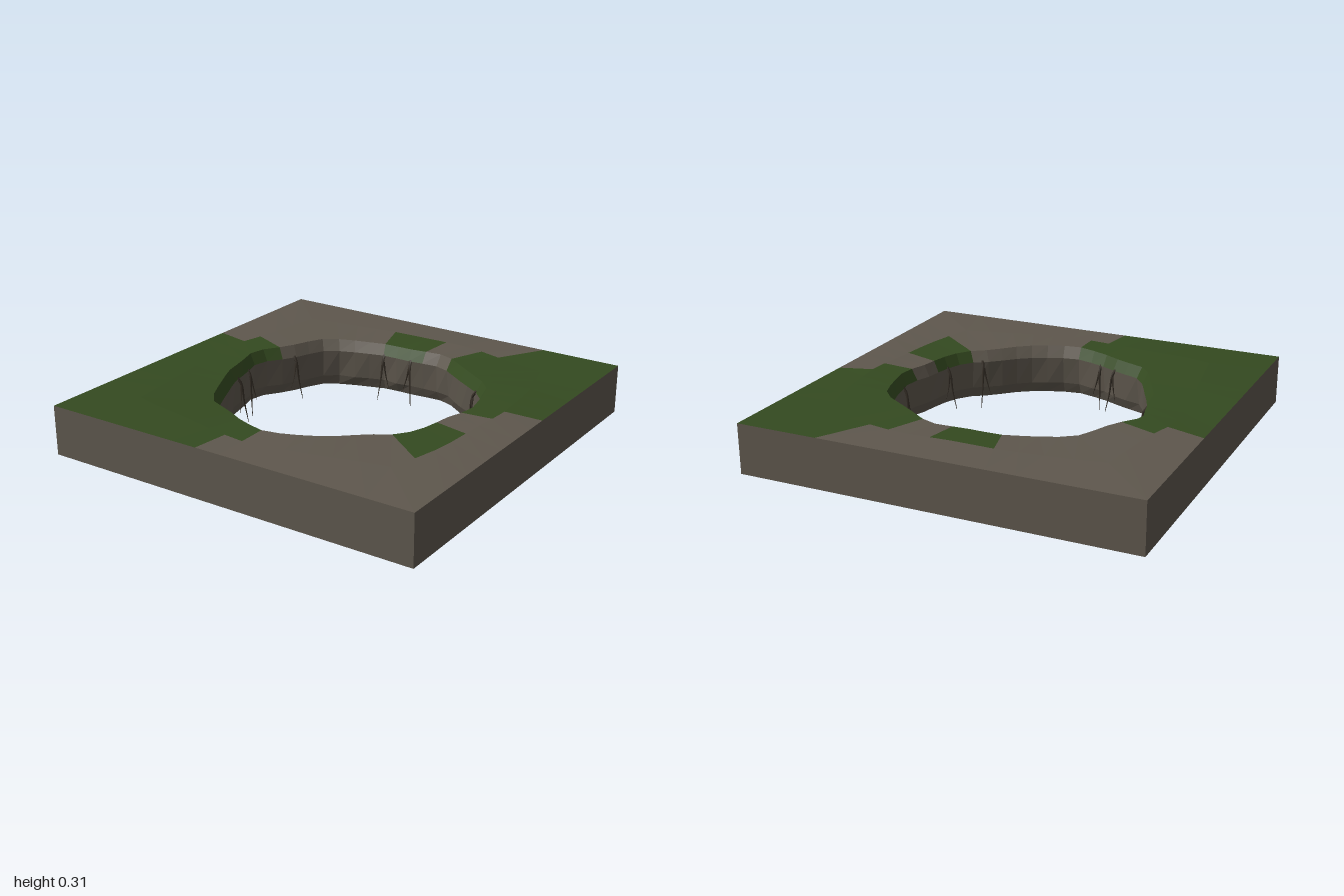
import * as THREE from 'three';

const SEG = 48;
const STEP = (Math.PI * 2) / SEG;

// Outline of the hole at the top, as x, z pairs running from +x towards +z
const OUTLINE = [
  [0.652, -0.01], [0.62, 0.085], [0.604, 0.2], [0.58, 0.3], [0.524, 0.385], [0.42, 0.455],
  [0.326, 0.55], [0.22, 0.626], [0.096, 0.674], [0, 0.69], [-0.14, 0.652], [-0.26, 0.59],
  [-0.41, 0.53], [-0.47, 0.455], [-0.53, 0.326], [-0.6, 0.18], [-0.636, 0.02], [-0.668, -0.09],
  [-0.647, -0.18], [-0.57, -0.28], [-0.53, -0.385], [-0.487, -0.48], [-0.417, -0.53],
  [-0.315, -0.57], [-0.155, -0.615], [0, -0.615], [0.165, -0.63], [0.25, -0.6], [0.38, -0.51],
  [0.555, -0.395], [0.61, -0.32], [0.64, -0.18], [0.66, -0.09],
];

// Distance from the centre to the outline along an angle
function holeRadius(angle) {
  const dx = Math.cos(angle), dz = Math.sin(angle);
  for (let i = 0; i < OUTLINE.length; i++) {
    const [ax, az] = OUTLINE[i];
    const [bx, bz] = OUTLINE[(i + 1) % OUTLINE.length];
    const sa = dx * az - dz * ax, sb = dx * bz - dz * bx;
    if (sa <= 0 && sb > 0 && ax * dx + az * dz > 0) {
      const t = sa / (sa - sb);
      return Math.hypot(ax + (bx - ax) * t, az + (bz - az) * t);
    }
  }
  return 0.64;
}

const squareRadius = (a) => 1 / Math.max(Math.abs(Math.cos(a)), Math.abs(Math.sin(a)));

// Ring of points; radius and height are functions of angle and segment
function ring(radius, height) {
  return Array.from({ length: SEG }, (_, k) => {
    const a = k * STEP, r = radius(a, k);
    return new THREE.Vector3(Math.cos(a) * r, height(a, k), Math.sin(a) * r);
  });
}

// Faceted strip between two rings, for the segments that pass the test
function strip(a, b, test, material, name) {
  const points = [];
  for (let k = 0; k < SEG; k++) {
    if (!test(k)) continue;
    const n = (k + 1) % SEG;
    points.push(a[k], b[k], a[n], a[n], b[k], b[n]);
  }
  const geometry = new THREE.BufferGeometry().setFromPoints(points);
  geometry.computeVertexNormals();
  const mesh = new THREE.Mesh(geometry, material);
  mesh.name = name;
  return mesh;
}

// Tube that tapers to a thin tip
function taperedStrand(points, radius, material) {
  const curve = new THREE.CatmullRomCurve3(points);
  const rows = 8, sides = 5;
  const geometry = new THREE.TubeGeometry(curve, rows, radius, sides, false);
  const pos = geometry.attributes.position;
  const v = new THREE.Vector3();
  for (let i = 0; i < pos.count; i++) {
    const t = Math.floor(i / (sides + 1)) / rows;
    const centre = curve.getPointAt(t);
    v.fromBufferAttribute(pos, i).sub(centre).multiplyScalar(1 - 0.85 * t).add(centre);
    pos.setXYZ(i, v.x, v.y, v.z);
  }
  geometry.computeVertexNormals();
  const mesh = new THREE.Mesh(geometry, material);
  mesh.name = 'rootStrand';
  return mesh;
}

export function createModel() {
  const model = new THREE.Group();
  model.name = 'brokenFloorSlab';
  const stone = new THREE.MeshStandardMaterial({ color: 0x5e574d });
  stone.name = 'stone';
  const moss = new THREE.MeshStandardMaterial({ color: 0x344a20 });
  moss.name = 'moss';
  const rootBrown = new THREE.MeshStandardMaterial({ color: 0x352e26 });
  rootBrown.name = 'rootBrown';

  // Cross-section rings, from the outer top edge through the hole to the outer bottom edge
  const middle = (a) => THREE.MathUtils.lerp(holeRadius(a), squareRadius(a), 0.46);
  const bump = (a) => 0.003 * Math.sin(3 * a + 1) + 0.003 * Math.sin(5 * a + 2.5);
  const chip = (k) => 0.005 * Math.sin(k * 2.3) + 0.003 * Math.sin(k * 4.1);
  const topEdge = ring(squareRadius, () => 0.3);
  const topMiddle = ring(middle, (a) => 0.306 + bump(a));
  const topRim = ring(holeRadius, (a) => 0.303 + bump(a + 1) * 0.5);
  const lip = ring((a) => holeRadius(a) - 0.03, () => 0.245);
  const wallFoot = ring((a, k) => holeRadius(a) - 0.018 + chip(k), () => 0.1);
  const bottomRim = ring((a) => holeRadius(a) + 0.008, (a) => 0.042 + bump(a) * 0.5);
  const bottomMiddle = ring(middle, (a) => 0.038 - bump(a));
  const bottomEdge = ring(squareRadius, () => 0.047);

  // Moss spans, in segments
  const within = (spans) => (k) => spans.some(([from, to]) => k >= from && k < to);
  const innerMoss = within([[2, 5], [12, 27], [34, 37], [39, 48]]);
  const outerMoss = within([[13, 26], [40, 47]]);
  const all = () => true;

  const mossy = [
    [topEdge, topMiddle, outerMoss, 'outerTop'],
    [topMiddle, topRim, innerMoss, 'innerTop'],
    [topRim, lip, innerMoss, 'rimBevel'],
  ];
  for (const [a, b, isMoss, name] of mossy) {
    model.add(strip(a, b, (k) => !isMoss(k), stone, name + 'Stone'));
    model.add(strip(a, b, isMoss, moss, name + 'Moss'));
  }
  model.add(
    strip(lip, wallFoot, all, stone, 'holeWall'),
    strip(wallFoot, bottomRim, all, stone, 'holeWallFoot'),
    strip(bottomRim, bottomMiddle, all, stone, 'innerUnderside'),
    strip(bottomMiddle, bottomEdge, all, stone, 'outerUnderside'),
    strip(bottomEdge, topEdge, all, stone, 'outerSides'),
  );

  // Forked roots hanging down the wall of the hole
  const rootPlaces = [
    [-0.15, -0.58], [0.01, -0.57], [0.5, -0.39], [0.58, -0.29], [0.62, -0.13], [0.56, 0.23],
    [0.43, 0.39], [-0.14, 0.6], [-0.24, 0.56], [-0.57, 0.12], [-0.61, 0], [-0.54, -0.3],
  ];
  rootPlaces.forEach(([x, z], i) => {
    const cluster = new THREE.Group();
    cluster.name = 'hangingRoot';
    const angle = Math.atan2(z, x);
    const start = holeRadius(angle) - 0.022;
    const at = (inward, side, y) => new THREE.Vector3(
      Math.cos(angle) * (start - inward) - Math.sin(angle) * side, y,
      Math.sin(angle) * (start - inward) + Math.cos(angle) * side);
    const lean = i % 2 ? 1 : -1;
    const tip = 0.002 + 0.008 * (i % 3);
    cluster.add(
      taperedStrand([at(0, 0, 0.25), at(0.02, 0.004 * lean, 0.22), at(0.03, 0.012 * lean, 0.12),
        at(0.045, 0.026 * lean, tip)], 0.008, rootBrown),
      taperedStrand([at(0.02, 0, 0.215), at(0.026, -0.012 * lean, 0.15),
        at(0.03, -0.032 * lean, 0.07 + tip)], 0.006, rootBrown),
    );
    model.add(cluster);
  });
  return model;
}
